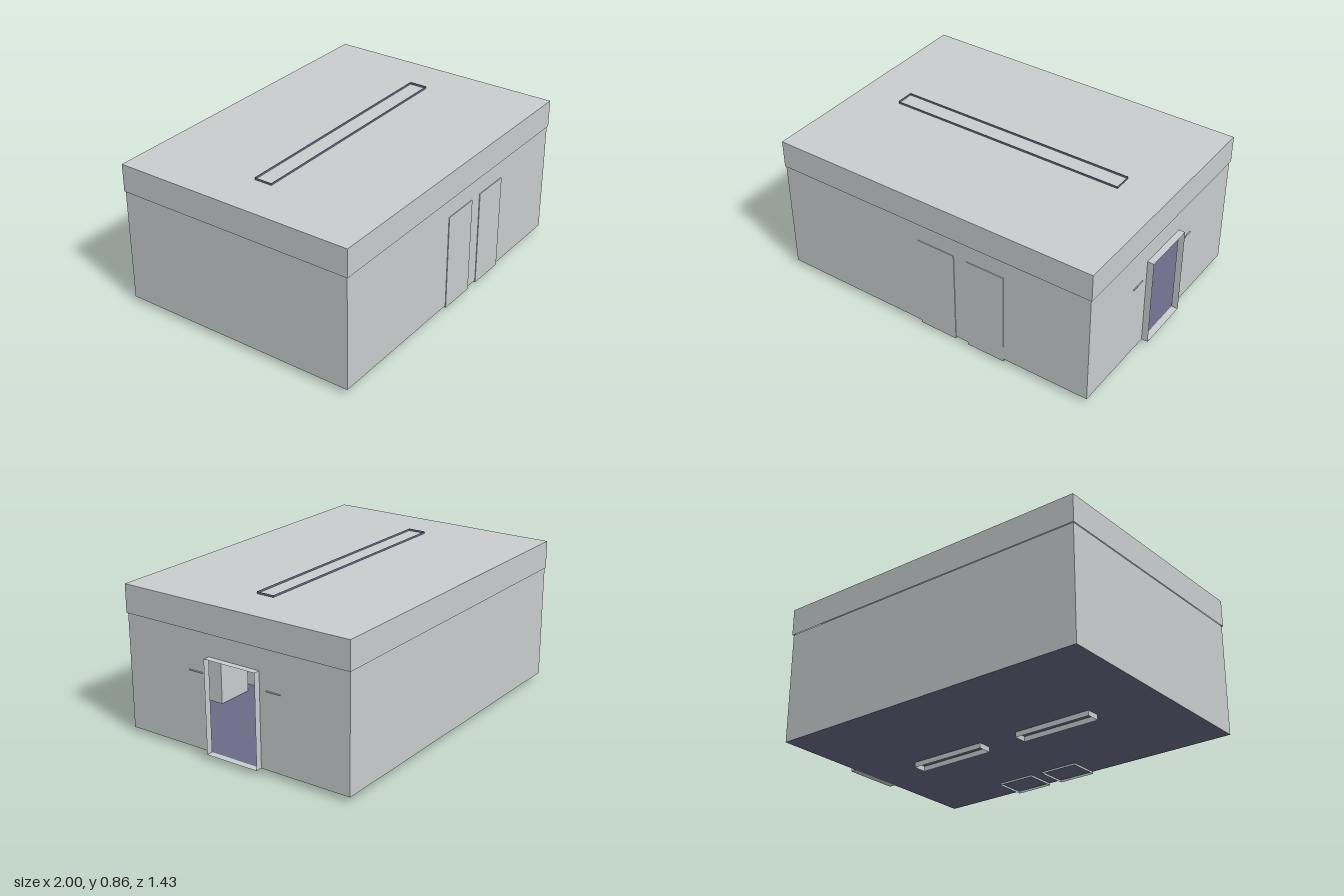
import * as THREE from 'three';

const wallGrey = new THREE.MeshStandardMaterial({ color: 0xc9cece, side: THREE.DoubleSide });
wallGrey.name = 'wallGrey';
const slatePurple = new THREE.MeshStandardMaterial({ color: 0x6c6b88, side: THREE.DoubleSide });
slatePurple.name = 'slatePurple';

// Box face order used by BoxGeometry
const FACES = ['right', 'left', 'top', 'bottom', 'front', 'back'];

// Thin-walled box between two corners, with the listed faces left open
function shell(name, material, [x0, x1], [y0, y1], [z0, z1], open = []) {
  const geometry = new THREE.BoxGeometry(x1 - x0, y1 - y0, z1 - z0);
  const index = Array.from(geometry.index.array);
  geometry.setIndex(index.filter((_, i) => !open.includes(FACES[Math.floor(i / 6)])));
  geometry.clearGroups();
  geometry.translate((x0 + x1) / 2, (y0 + y1) / 2, (z0 + z1) / 2);
  const mesh = new THREE.Mesh(geometry, material);
  mesh.name = name;
  return mesh;
}

export function createModel() {
  const model = new THREE.Group();
  model.name = 'building';

  const FLOOR = 0.03, EAVE = 0.685, ROOF = 0.845;
  const LEFT = -0.995, RIGHT = 0.962, HALF = 0.71;
  const DOOR_HALF = 0.163, DOOR_TOP = 0.56;

  // Walls, with the doorway wall made separately
  model.add(shell('walls', wallGrey, [LEFT, RIGHT], [FLOOR, EAVE], [-HALF, HALF],
    ['top', 'bottom', 'right']));

  const wall = new THREE.Shape([
    [-HALF, FLOOR], [-DOOR_HALF, FLOOR], [-DOOR_HALF, DOOR_TOP], [DOOR_HALF, DOOR_TOP],
    [DOOR_HALF, FLOOR], [HALF, FLOOR], [HALF, EAVE], [-HALF, EAVE],
  ].map(([x, y]) => new THREE.Vector2(x, y)));
  const doorWall = new THREE.Mesh(new THREE.ShapeGeometry(wall), wallGrey);
  doorWall.name = 'doorwayWall';
  doorWall.rotation.y = Math.PI / 2;
  doorWall.position.x = RIGHT;
  model.add(doorWall);

  // Floor slab
  const floor = new THREE.Mesh(new THREE.PlaneGeometry(RIGHT - LEFT, 2 * HALF), slatePurple);
  floor.name = 'floor';
  floor.rotation.x = -Math.PI / 2;
  floor.position.set((LEFT + RIGHT) / 2, FLOOR, 0);
  model.add(floor);

  // Roof cap slightly overhanging the walls
  model.add(shell('roofCap', wallGrey, [-1, 0.969], [EAVE, ROOF], [-0.715, 0.715], ['bottom']));

  // Projecting door surround, open through the middle
  model.add(shell('doorSurround', wallGrey, [RIGHT, 1], [FLOOR, DOOR_TOP],
    [-DOOR_HALF, DOOR_HALF], ['left', 'right']));

  // Small ledges either side of the doorway
  for (const side of [-1, 1]) {
    const ends = [side * 0.205, side * 0.295].sort((a, b) => a - b);
    model.add(shell('wallLedge', wallGrey, [0.93, 0.967], [0.459, 0.465], ends));
  }

  // Long ceiling fixture whose open rim stands above the roof
  model.add(shell('ceilingFixture', slatePurple, [-0.73, 0.7], [0.825, 0.857],
    [-0.053, 0.053], ['top']));

  // Two tables on hollow plinths that pass through the floor
  for (const [x0, x1] of [[-0.59, -0.11], [0.135, 0.615]]) {
    const table = new THREE.Group();
    table.name = 'table';
    table.add(shell('plinth', wallGrey, [x0, x1], [0, 0.094], [-0.04, 0.04], ['top', 'bottom']));
    table.add(shell('tableTop', slatePurple, [x0 - 0.035, x1 + 0.035], [0.092, 0.118], [-0.075, 0.075]));
    model.add(table);
  }

  // Two tall cabinets set into the front wall
  for (const [x0, x1] of [[-0.09, 0.14], [0.22, 0.45]]) {
    model.add(shell('frontCabinet', wallGrey, [x0, x1], [0.018, 0.58], [0.53, 0.714], ['bottom']));
  }

  return model;
}
